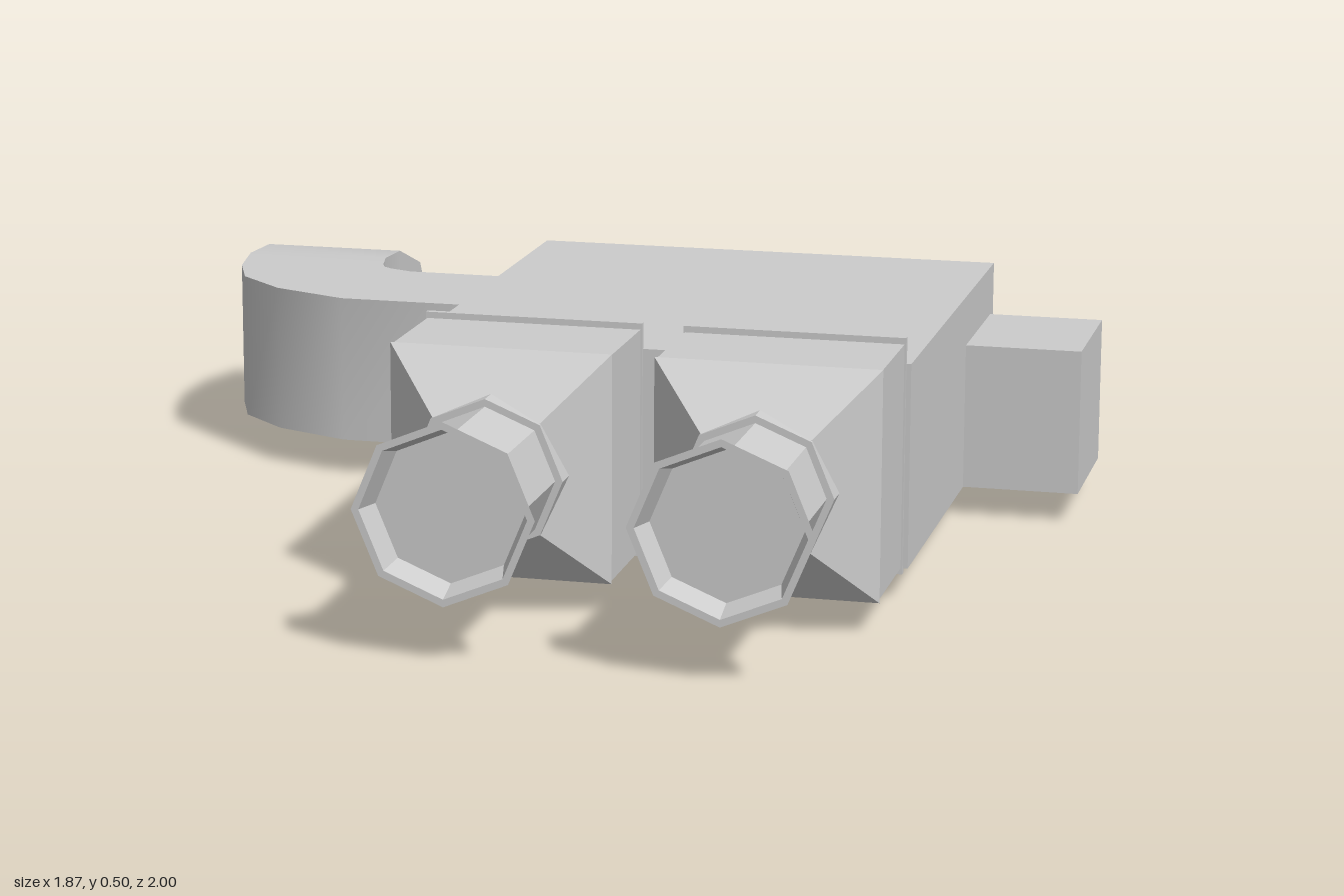
import * as THREE from 'three';
import { toCreasedNormals } from 'three/addons/utils/BufferGeometryUtils.js';

const grey = new THREE.MeshStandardMaterial({ color: 0xcccccc, flatShading: true });
const smoothGrey = new THREE.MeshStandardMaterial({ color: 0xcccccc });

function addMesh(parent, name, geometry, material = grey) {
  const mesh = new THREE.Mesh(geometry, material);
  mesh.name = name;
  parent.add(mesh);
  return mesh;
}

// Box given by its lower and upper corners
function box(x0, y0, z0, x1, y1, z1) {
  return new THREE.BoxGeometry(x1 - x0, y1 - y0, z1 - z0)
    .translate((x0 + x1) / 2, (y0 + y1) / 2, (z0 + z1) / 2);
}

// Square duct: bends backwards in plan, then turns down
function ductGeometry() {
  const top = 0.375, bottom = 0.075, left = -0.935, right = -0.635;
  const sections = [];
  // Plan bend: outer x, z and inner x, z
  const plan = [
    [-0.25, -0.24, -0.25, -0.535],
    [-0.6, -0.24, -0.54, -0.535],
    [-0.76, -0.305, -0.59, -0.555],
    [-0.865, -0.4, -0.61, -0.57],
    [-0.91, -0.51, -0.62, -0.595],
    [left, -0.64, right, -0.66],
  ];
  for (const [ox, oz, ix, iz] of plan) {
    sections.push([[ox, top, oz], [ox, bottom, oz], [ix, bottom, iz], [ix, top, iz]]);
  }
  // Downward elbow: outer y, z and inner y, z
  const elbow = [
    [0.37, -0.765, 0.075, -0.685],
    [0.315, -0.915, 0.073, -0.692],
    [0.17, -1, 0.065, -0.695],
    [0, -1, 0, -0.695],
  ];
  for (const [oy, oz, iy, iz] of elbow) {
    sections.push([[left, oy, oz], [left, iy, iz], [right, iy, iz], [right, oy, oz]]);
  }

  const positions = [];
  const quad = (a, b, c, d) => positions.push(...a, ...b, ...c, ...a, ...c, ...d);
  for (let i = 0; i < sections.length - 1; i++) {
    const s = sections[i], t = sections[i + 1];
    for (let k = 0; k < 4; k++) {
      const n = (k + 1) % 4;
      quad(s[k], t[k], t[n], s[n]);
    }
  }
  const first = sections[0], last = sections[sections.length - 1];
  quad(...first);
  quad(...[...last].reverse());

  const geometry = new THREE.BufferGeometry();
  geometry.setAttribute('position', new THREE.Float32BufferAttribute(positions, 3));
  geometry.computeVertexNormals();
  return toCreasedNormals(geometry, 0.7);
}

// Square housing with a tapered nose and an eight-sided flared nozzle
function createOutlet(name, x) {
  const outlet = new THREE.Group();
  outlet.name = name;
  outlet.position.set(x, 0.275, 0);

  addMesh(outlet, 'flange', box(-0.21, -0.225, 0.38, 0.21, 0.225, 0.392));
  addMesh(outlet, 'housing', box(-0.207, -0.213, 0.385, 0.207, 0.213, 0.62));

  const nose = new THREE.CylinderGeometry(0.1 * Math.SQRT2, 0.21 * Math.SQRT2, 0.1, 4)
    .rotateY(Math.PI / 4).rotateX(Math.PI / 2).scale(1, 1.03, 1).translate(0, 0, 0.67);
  addMesh(outlet, 'taperedNose', nose);

  // Collar, barrel, flare and recessed end
  const profile = [
    [0.145, 0.63], [0.145, 0.725], [0.131, 0.725], [0.131, 0.95],
    [0.168, 1], [0.154, 1], [0.138, 0.95], [0, 0.95],
  ].map(([r, z]) => new THREE.Vector2(r, z));
  addMesh(outlet, 'nozzle', new THREE.LatheGeometry(profile, 8).rotateX(Math.PI / 2));
  return outlet;
}

export function createModel() {
  const model = new THREE.Group();
  model.name = 'ductedUnit';

  addMesh(model, 'body', box(-0.25, 0.06, -0.57, 0.7, 0.45, 0.385));
  addMesh(model, 'sideBlock', box(0.69, 0.06, -0.535, 0.93, 0.35, -0.235));
  addMesh(model, 'bentDuct', ductGeometry(), smoothGrey);
  model.add(createOutlet('rightOutlet', -0.018), createOutlet('leftOutlet', 0.481));
  return model;
}
